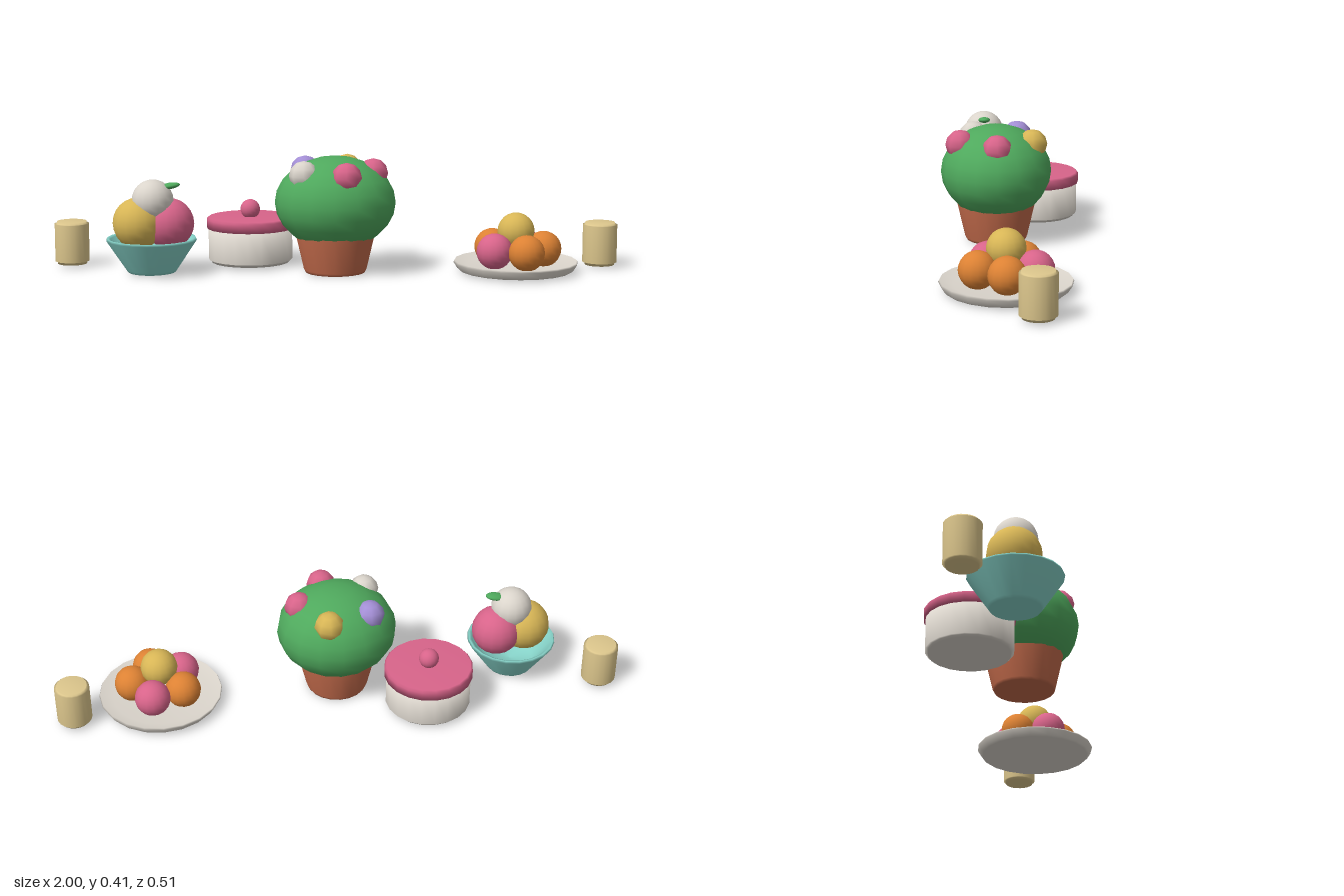
import * as THREE from 'three';

const mat = (name, color) => {
  const m = new THREE.MeshStandardMaterial({ color });
  m.name = name;
  return m;
};

export function createModel() {
  const model = new THREE.Group();
  model.name = 'tableSetting';

  const green = mat('leaf green', 0x4fa95d);
  const terracotta = mat('terracotta', 0xc0694a);
  const pink = mat('pink', 0xd8648a);
  const orange = mat('orange', 0xdd8234);
  const yellow = mat('golden yellow', 0xd8b656);
  const cream = mat('cream', 0xdbd5cc);
  const tan = mat('tan', 0xdcc68c);
  const teal = mat('teal', 0x86d2c8);
  const purple = mat('purple', 0xa48fd6);

  const group = (name, x, z) => {
    const g = new THREE.Group();
    g.name = name;
    g.position.set(x, 0, z);
    model.add(g);
    return g;
  };
  const add = (parent, name, geometry, material, x = 0, y = 0, z = 0) => {
    const mesh = new THREE.Mesh(geometry, material);
    mesh.name = name;
    mesh.position.set(x, y, z);
    parent.add(mesh);
    return mesh;
  };
  // Turned part: profile of [radius, height], listed from the underside outwards and up
  const turn = (parent, name, material, profile, segments = 20) =>
    add(parent, name, new THREE.LatheGeometry(profile.map(([r, y]) => new THREE.Vector2(r, y)), segments), material);
  const ball = (parent, name, material, r, x, y, z, w = 16, h = 12) =>
    add(parent, name, new THREE.SphereGeometry(r, w, h), material, x, y, z);

  // Potted bush with a ring of five blossoms
  const plant = group('pottedBush', 0, 0.053);
  turn(plant, 'flowerPot', terracotta, [[0, 0], [0.105, 0], [0.11, 0.01], [0.14, 0.14], [0.13, 0.15], [0, 0.15]]);
  ball(plant, 'foliage', green, 1, 0, 0.245, 0).scale.set(0.211, 0.163, 0.194);
  [pink, pink, cream, purple, yellow].forEach((m, i) => {
    const a = (i * Math.PI * 2) / 5;
    ball(plant, 'blossom', m, 0.052, 0.132 * Math.cos(a), 0.348, 0.132 * Math.sin(a), 8, 6);
  });

  // Lidded casserole
  const casserole = group('casserole', -0.306, -0.102);
  turn(casserole, 'casseroleBody', cream,
    [[0, 0.008], [0.14, 0.008], [0.14, 0.018], [0.15, 0.018], [0.15, 0.135], [0, 0.135]]);
  turn(casserole, 'casseroleLid', pink,
    [[0, 0.131], [0.156, 0.131], [0.156, 0.163], [0.149, 0.17], [0, 0.17]]);
  ball(casserole, 'lidKnob', pink, 0.035, 0, 0.197, 0);

  // Bowl of scoops with a leaf on top
  const dessert = group('scoopBowl', -0.64, 0.083);
  turn(dessert, 'bowl', teal, [[0, 0.004], [0.083, 0.004], [0.09, 0.014], [0.158, 0.117],
    [0.154, 0.125], [0.143, 0.12], [0.08, 0.035], [0, 0.025]]);
  ball(dessert, 'leftScoop', pink, 0.088, 0.06, 0.172, -0.018);
  ball(dessert, 'rightScoop', yellow, 0.09, -0.045, 0.175, 0);
  ball(dessert, 'topScoop', cream, 0.073, 0.006, 0.255, 0);
  const leaf = ball(dessert, 'leaf', green, 1, 0.066, 0.306, 0);
  leaf.scale.set(0.036, 0.011, 0.022);
  leaf.rotation.z = 0.15;

  // Plate of fruit: a ring of five with one on top
  const fruit = group('fruitPlate', 0.633, 0.038);
  turn(fruit, 'plate', cream, [[0, 0.005], [0.198, 0.005], [0.205, 0.011], [0.218, 0.032],
    [0.215, 0.038], [0.17, 0.022], [0, 0.018]]);
  [orange, orange, pink, orange, pink].forEach((m, i) => {
    const a = (i * Math.PI * 2) / 5;
    ball(fruit, 'fruit', m, 0.063, 0.097 * Math.cos(a), 0.079, 0.097 * Math.sin(a));
  });
  ball(fruit, 'topFruit', yellow, 0.065, 0, 0.142, 0);

  // Pair of cups at the ends
  for (const side of [1, -1]) {
    const cup = group(side > 0 ? 'leftCup' : 'rightCup', side * 0.939, -0.05);
    turn(cup, 'cupBody', tan, [[0, 0.008], [0.052, 0.008], [0.052, 0.018], [0.061, 0.018],
      [0.061, 0.152], [0.053, 0.152], [0.053, 0.16], [0, 0.16]]);
  }

  return model;
}
